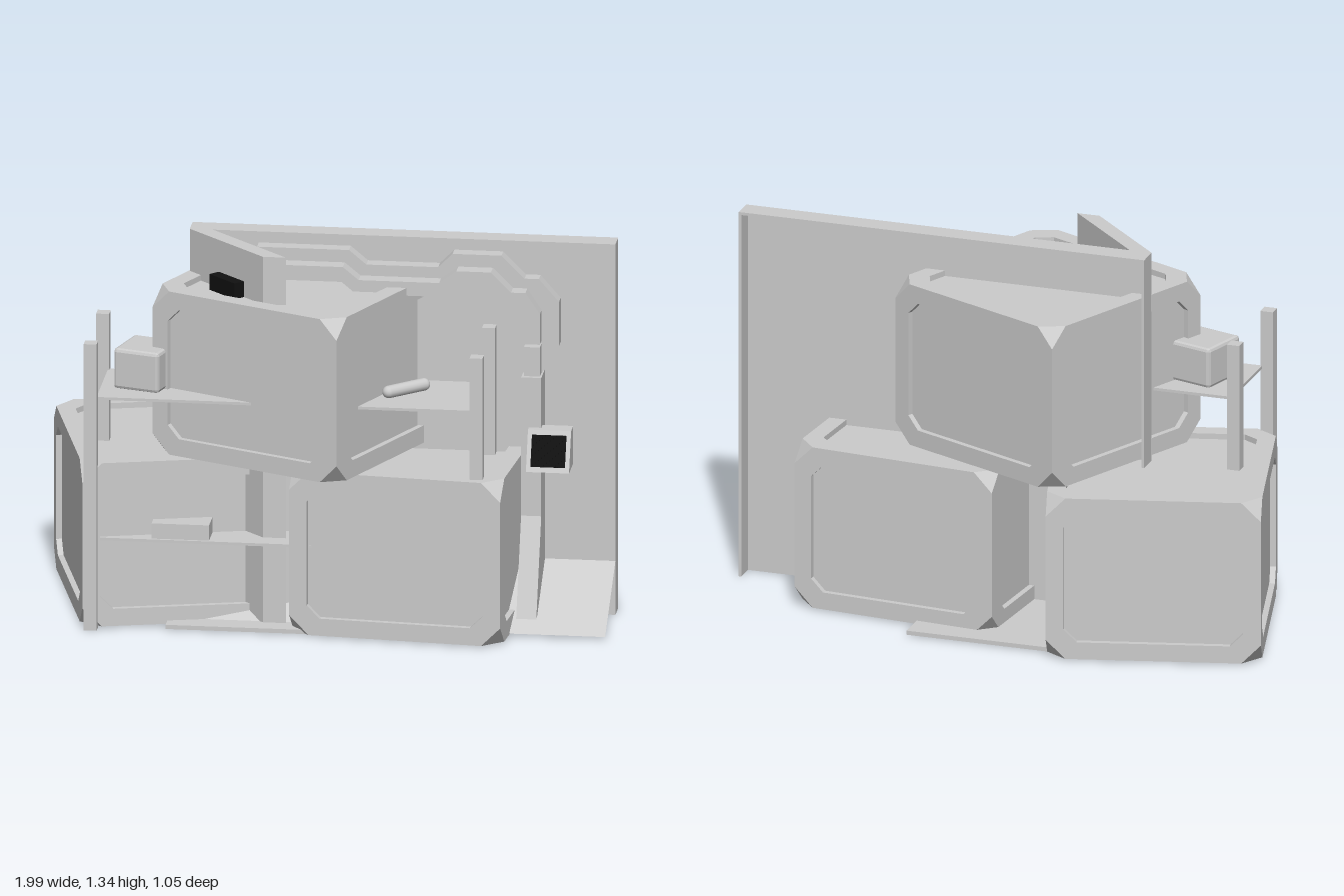
import * as THREE from 'three';
import { mergeGeometries } from 'three/addons/utils/BufferGeometryUtils.js';
import { RoundedBoxGeometry } from 'three/addons/geometries/RoundedBoxGeometry.js';

const material = new THREE.MeshStandardMaterial({ color: 0xcccccc, flatShading: true });
const smoothMaterial = new THREE.MeshStandardMaterial({ color: 0xcccccc });
const sheetMaterial = new THREE.MeshStandardMaterial({ color: 0xcccccc, flatShading: true, side: THREE.DoubleSide });
const darkMaterial = new THREE.MeshStandardMaterial({ color: 0x111111, flatShading: true });

const shapeOf = (points) => new THREE.Shape(points.map(([x, y]) => new THREE.Vector2(x, y)));
const extrude = (points, depth) => new THREE.ExtrudeGeometry(shapeOf(points), { depth, bevelEnabled: false });

// Rectangle with cut corners
function octagon(w, h, c) {
  const x = w / 2, y = h / 2;
  return [[-x + c, -y], [x - c, -y], [x, -y + c], [x, y - c], [x - c, y], [-x + c, y], [-x, y - c], [-x, -y + c]];
}

// Crate with truncated corners and a sunken octagonal panel in every face
function crateGeometry(w, h, d) {
  const cut = 0.068, inset = 0.062, sink = 0.02;
  const parts = [];
  const addFace = (fw, fh, dist, rx, ry) => {
    const ring = shapeOf(octagon(fw, fh, cut));
    const hole = octagon(fw - 2 * inset, fh - 2 * inset, 0.045);
    ring.holes.push(new THREE.Path(hole.map(([x, y]) => new THREE.Vector2(x, y))));
    const frame = new THREE.ExtrudeGeometry(ring, { depth: sink, bevelEnabled: false });
    const panel = new THREE.ShapeGeometry(shapeOf(hole)).toNonIndexed();
    for (const g of [frame, panel]) {
      g.translate(0, 0, dist - sink);
      g.rotateX(rx);
      g.rotateY(ry);
      g.deleteAttribute('uv');
      parts.push(g);
    }
  };
  for (let i = 0; i < 4; i++) addFace(i % 2 ? d : w, h, (i % 2 ? w : d) / 2, 0, i * Math.PI / 2);
  addFace(w, d, h / 2, -Math.PI / 2, 0);
  addFace(w, d, h / 2, Math.PI / 2, 0);

  // Corner triangles
  const corners = [];
  for (const sx of [-1, 1]) for (const sy of [-1, 1]) for (const sz of [-1, 1]) {
    const [x, y, z] = [sx * w / 2, sy * h / 2, sz * d / 2];
    const a = [x - sx * cut, y, z], b = [x, y - sy * cut, z], c = [x, y, z - sz * cut];
    corners.push(...(sx * sy * sz > 0 ? [...c, ...a, ...b] : [...c, ...b, ...a]));
  }
  const tri = new THREE.BufferGeometry();
  tri.setAttribute('position', new THREE.Float32BufferAttribute(corners, 3));
  tri.computeVertexNormals();
  parts.push(tri);
  return mergeGeometries(parts);
}

export function createModel() {
  const model = new THREE.Group();
  const add = (name, geometry, x = 0, y = 0, z = 0, ry = 0, mat = material, parent = model) => {
    const mesh = new THREE.Mesh(geometry, mat);
    mesh.name = name;
    mesh.position.set(x, y, z);
    mesh.rotation.y = ry;
    parent.add(mesh);
    return mesh;
  };
  // Box given by its limits on each axis
  const block = (name, x0, x1, y0, y1, z0, z1, mat = material) =>
    add(name, new THREE.BoxGeometry(x1 - x0, y1 - y0, z1 - z0), (x0 + x1) / 2, (y0 + y1) / 2, (z0 + z1) / 2, 0, mat);

  // Stacked crates
  const crate = crateGeometry(0.745, 0.59, 0.745);
  add('lowerRightCrate', crate, -0.55, 0.301, -0.07, 0.255);
  add('lowerLeftCrate', crate, 0.305, 0.301, 0.035, -0.088);
  add('upperCrate', crate, -0.1, 0.893, 0.033, -0.427);

  // Wall sheet with flanges turned to the back
  block('wallSheet', -0.49, 0.99, 0, 1.34, -0.01, 0);
  block('wallTopFlange', -0.49, 0.99, 1.33, 1.34, -0.08, -0.01);
  block('wallRightFlange', -0.49, -0.48, 0, 1.33, -0.08, -0.01);
  block('wallLeftFlange', 0.98, 0.99, 0, 1.33, -0.08, -0.01);

  // Diagonal wall fin
  const fin = extrude([[-0.49, 0], [-0.41, 0], [-0.12, -0.29], [-0.2, -0.29]], 1.33);
  fin.rotateX(-Math.PI / 2);
  add('wallFin', fin, 0, 0.01, 0);

  // Sloping skirt at the foot of the wall
  const skirt = new THREE.BufferGeometry();
  skirt.setAttribute('position', new THREE.Float32BufferAttribute(
    [-0.49, 0.01, 0.29, 0.99, 0.01, 0.29, 0.99, 0.195, 0, -0.2, 0.195, 0], 3));
  skirt.setIndex([0, 1, 2, 0, 2, 3]);
  skirt.computeVertexNormals();
  add('wallSkirt', skirt, 0, 0, 0, 0, sheetMaterial);

  // Layered conduit across the wall
  const underside = [[0.67, 1.06], [0.54, 1.2], [0.46, 1.2], [0.41, 1.16], [0.1, 1.16], [0.04, 1.21]];
  add('conduitBase', extrude([[-0.25, 1.3], [0.07, 1.3], [0.13, 1.25], [0.38, 1.25], [0.43, 1.3], [0.6, 1.3],
    [0.68, 1.22], [0.73, 1.22], [0.8, 1.14], [0.8, 0.98], [0.74, 0.88], [0.67, 0.88],
    ...underside, [-0.25, 1.21]], 0.05));
  add('conduitCover', extrude([[-0.18, 1.255], [0.055, 1.255], [0.11, 1.21], [0.39, 1.21], [0.45, 1.255],
    [0.57, 1.255], [0.64, 1.185], [0.69, 1.185], [0.74, 1.11], [0.74, 1], [0.67, 1],
    ...underside, [-0.18, 1.21]], 0.055), 0, 0, 0.05);
  block('conduitCoupling', 0.685, 0.74, 0.885, 0.99, 0.05, 0.105);

  // Conduit column that kicks out over the skirt
  const column = extrude([[0, 0.88], [0.105, 0.88], [0.105, 0.38], [0.245, 0.05], [0.2, 0.06], [0, 0.19]], 0.07);
  column.rotateY(-Math.PI / 2);
  add('conduitColumn', column, 0.745, 0, 0);

  // Tilted grille unit on the column
  const wedge = extrude([[0.07, 0.565], [0.19, 0.565], [0.13, 0.7], [0.07, 0.7]], 0.15);
  wedge.rotateY(-Math.PI / 2);
  add('grilleHousing', wedge, 0.852, 0, 0);
  const grille = new THREE.Group();
  grille.name = 'grille';
  grille.position.set(0.777, 0.633, 0.16);
  grille.rotation.x = -Math.atan2(0.06, 0.135);
  model.add(grille);
  add('grilleBack', new THREE.BoxGeometry(0.12, 0.112, 0.004), 0, 0, 0.001, 0, darkMaterial, grille);
  for (let i = 0; i < 12; i++) {
    add('grilleSlat', new THREE.BoxGeometry(0.003, 0.112, 0.004), -0.055 + i * 0.01, 0, 0.003, 0, darkMaterial, grille);
  }

  // Vent on the fin
  add('finVent', new THREE.BoxGeometry(0.14, 0.08, 0.125), -0.31, 1.185, 0.15, -Math.PI / 4, darkMaterial);

  // Shelving frame
  for (const x of [-0.81, 0.532]) for (const z of [0, 0.355]) {
    block('shelfPost', x, x + 0.045, 0, 1.035, z, z + 0.045);
  }
  for (const y of [0.32, 0.828]) block('shelf', -0.77, 0.535, y - 0.005, y + 0.005, 0.03, 0.36);

  // Things on the shelves
  add('shelfBox', new RoundedBoxGeometry(0.17, 0.145, 0.185, 1, 0.012), -0.618, 0.905, 0.19, -0.29);
  block('shelfBar', -0.58, -0.38, 0.325, 0.38, 0.25, 0.35);
  const roll = new THREE.CapsuleGeometry(0.022, 0.15, 6, 16);
  roll.rotateZ(Math.PI / 2);
  add('shelfRoll', roll, 0.287, 0.855, 0.197, 0.75, smoothMaterial);

  // Floor hatch with two knobs underneath
  block('floorHatch', -0.53, 0.25, 0.003, 0.018, -0.45, 0.36);
  for (const x of [-0.2, -0.07]) {
    const knob = add('hatchKnob', new THREE.SphereGeometry(0.045, 16, 8), x, 0.006, -0.04, 0, smoothMaterial);
    knob.scale.y = 0.13;
  }
  return model;
}
